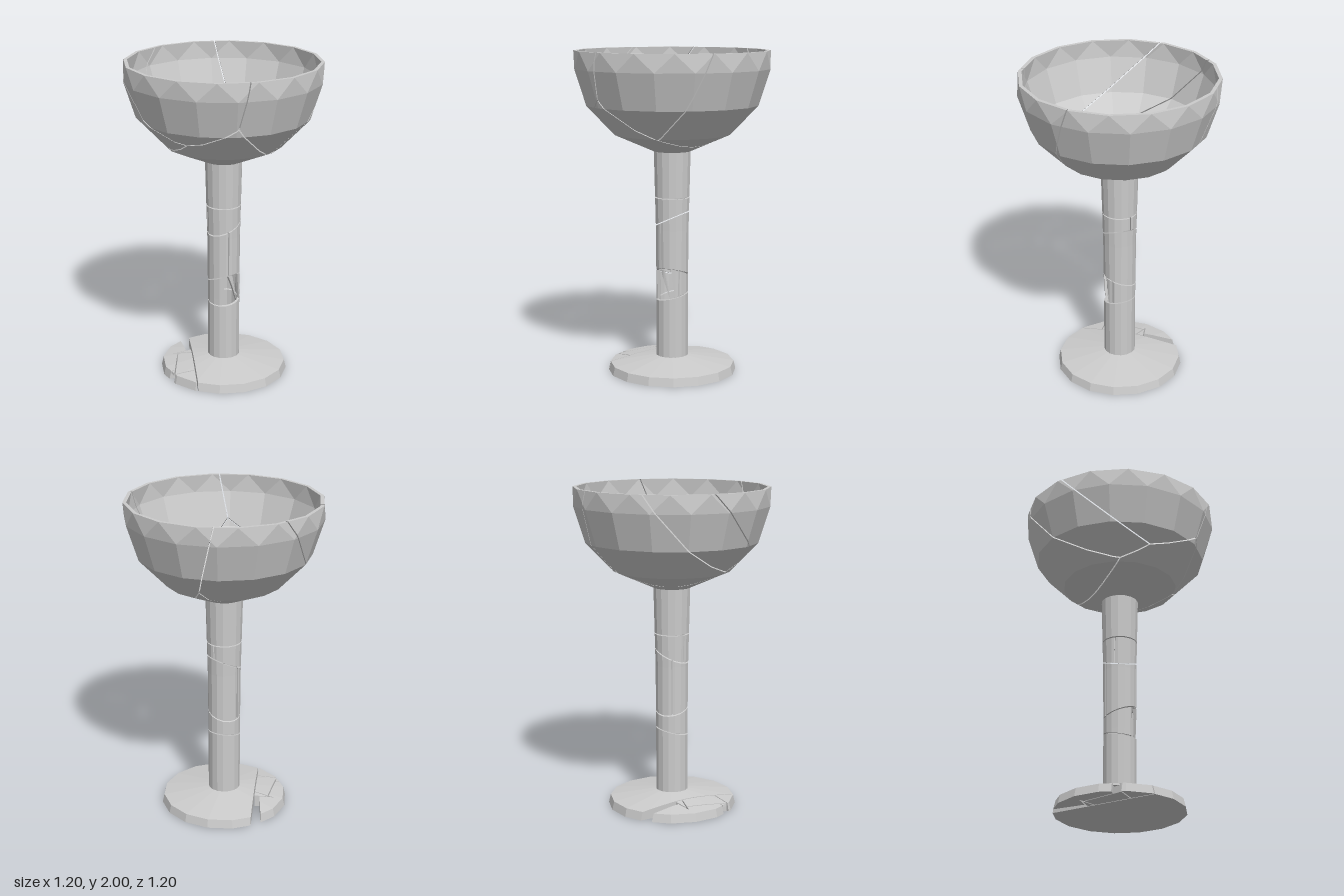
import * as THREE from 'three';

const SIDES = 16, GAP = 0.007;
const V = (x, y, z) => new THREE.Vector3(x, y, z);
const plane = (nx, ny, nz, c) => {
  const n = V(nx, ny, nz), l = n.length();
  return new THREE.Plane(n.divideScalar(l), c / l);
};
const flip = (p) => p.clone().negate();
const centre = (pts) => pts.reduce((s, p) => s.add(p), V(0, 0, 0)).divideScalar(pts.length);
const at = (r, y, step) => {
  const a = (step * Math.PI * 2) / SIDES;
  return V(r * Math.sin(a), y, r * Math.cos(a));
};

// Convex wall block between an outer and an inner face; only real surfaces are shown
function block(outer, inner) {
  const faces = [{ pts: outer, show: true }, { pts: inner, show: true }];
  outer.forEach((p, i) => {
    const j = (i + 1) % outer.length;
    faces.push({ pts: [p, outer[j], inner[j], inner[i]], show: p.y > 1.999 && outer[j].y > 1.999 });
  });
  return faces;
}

// Cut a convex block with a plane and close the cut with a cap
function clip(faces, pl) {
  const out = [], cut = [];
  const dist = (p) => pl.distanceToPoint(p) - GAP / 2;
  for (const { pts, show } of faces) {
    const kept = [];
    pts.forEach((p, i) => {
      const q = pts[(i + 1) % pts.length], dp = dist(p), dq = dist(q);
      if (dp >= 0) kept.push(p);
      if (dp >= 0 !== dq >= 0) {
        const m = p.clone().lerp(q, dp / (dp - dq));
        kept.push(m);
        cut.push(m);
      }
    });
    if (kept.length > 2) out.push({ pts: kept, show });
  }
  if (cut.length > 2) {
    const c = centre(cut);
    const u = V(0, 1, 0).cross(pl.normal);
    if (u.length() < 0.01) u.set(1, 0, 0);
    const w = pl.normal.clone().cross(u);
    const angle = (p) => {
      const d = p.clone().sub(c);
      return Math.atan2(d.dot(w), d.dot(u));
    };
    out.push({ pts: cut.sort((a, b) => angle(a) - angle(b)), show: true });
  }
  return out;
}

// One shard: all blocks of a part that lie inside the given planes
function shard(name, blocks, planes, material) {
  const pos = [];
  for (const b of blocks) {
    const faces = planes.reduce(clip, b);
    if (faces.length < 4) continue;
    const mid = centre(faces.flatMap((f) => f.pts));
    for (const { pts, show } of faces) {
      if (!show) continue;
      const fc = centre(pts);
      for (let i = 1; i < pts.length - 1; i++) {
        let [a, p, q] = [pts[0], pts[i], pts[i + 1]];
        const n = p.clone().sub(a).cross(q.clone().sub(a));
        if (n.length() < 1e-10) continue;
        if (n.dot(fc.clone().sub(mid)) < 0) [p, q] = [q, p];
        pos.push(...a.toArray(), ...p.toArray(), ...q.toArray());
      }
    }
  }
  const g = new THREE.BufferGeometry();
  g.setAttribute('position', new THREE.Float32BufferAttribute(pos, 3));
  g.computeVertexNormals();
  const mesh = new THREE.Mesh(g, material);
  mesh.name = name;
  return mesh;
}

// Straight bands of wall between two profiles of [radius, height]
function bands(outer, inner) {
  const list = [];
  for (let k = 0; k < outer.length - 1; k++) {
    for (let i = 0; i < SIDES; i++) {
      const quad = (p) => [at(...p[k], i + 0.5), at(...p[k], i + 1.5), at(...p[k + 1], i + 1.5), at(...p[k + 1], i + 0.5)];
      list.push(block(quad(outer), quad(inner)));
    }
  }
  return list;
}

export function createModel() {
  const model = new THREE.Group();
  const mat = new THREE.MeshStandardMaterial({ color: 0xcccccc, flatShading: true, side: THREE.DoubleSide });
  const part = (name) => {
    const g = new THREE.Group();
    g.name = name;
    model.add(g);
    return (label, blocks, planes) => g.add(shard(label, blocks, planes, mat));
  };

  // Bowl wall, with a zigzag row of triangles below the rim
  const bowlBlocks = bands(
    [[0.115, 1.385], [0.357, 1.49], [0.53, 1.67], [0.6, 1.89]],
    [[0.1, 1.4], [0.338, 1.508], [0.508, 1.682], [0.578, 1.892]]);
  for (let i = 0; i < SIDES; i++) {
    const up = (r) => [at(r, 2, i), at(r, 2, i + 1), at(r, 1.89, i + 0.5)];
    const down = (r) => [at(r, 2, i + 1), at(r, 1.89, i + 1.5), at(r, 1.89, i + 0.5)];
    bowlBlocks.push(block(up(0.6), up(0.578)), block(down(0.6), down(0.578)));
  }

  // Cracks run between these directions from the bowl centre (y = 0 ends at the rim)
  const A = V(-0.56, -1, -0.69), B = V(0.66, -1, -0.08), C = V(1.64, -1, 1.04);
  const D = V(-0.06, -1, 0.75), E = V(0.36, -1, 1);
  const rimA = V(-0.81, 0, -0.58), rimB = V(0.72, 0, -0.7), rimC = V(0.89, 0, 0.45);
  const rimD = V(-0.99, 0, 0.12), rimE = V(-0.67, 0, 0.74);
  const chains = [
    [rimA, A, B, rimB], [rimD, D, A, rimA], [A, D, E, C, B, A],
    [rimB, B, C, rimC], [rimC, C, E, rimE], [rimE, E, D, rimD],
  ];
  const addBowl = part('bowl');
  chains.forEach((chain, s) => {
    const inside = centre(chain.map((p) => p.clone().normalize()));
    const planes = chain.slice(1).map((p, i) => {
      const n = chain[i].clone().cross(p).normalize();
      if (n.dot(inside) < 0) n.negate();
      return new THREE.Plane(n, -n.y * 2);
    });
    addBowl(`bowlShard${s + 1}`, bowlBlocks, planes);
  });

  // Hollow stem, broken across at several heights
  const stemBlocks = bands(
    [[0.1, 0.095], [0.1, 0.5], [0.103, 0.9], [0.115, 1.385]],
    [[0.085, 0.095], [0.085, 0.5], [0.086, 0.9], [0.1, 1.4]]);
  const above = (h, ax = 0, az = 0) => plane(-ax, 1, -az, -h);
  const c1 = above(0.48, -0.12, -0.2), c2 = above(0.625, 0.35), c3 = above(0.965, 0, -0.45), c4 = above(1.1);
  const splitX = plane(1, 0, 0, 0.04), splitZ = plane(0, 0, 1, -0.04);
  const chip = plane(1, 0, 0, -0.068);
  const addStem = part('stem');
  [
    ['lowerStem', flip(c1)],
    ['chippedStem', c1, flip(c2), flip(chip)],
    ['chipSliverBack', c1, flip(c2), chip, plane(0, 0.12, -1, -0.105)],
    ['chipSliverMiddle', c1, flip(c2), chip, plane(0, -0.2, 1, 0.12), plane(0, 0.35, -1, -0.185)],
    ['middleStemFront', c2, flip(c3), splitZ],
    ['middleStemBack', c2, flip(c3), flip(splitZ)],
    ['upperStemLeft', c3, flip(c4), splitX],
    ['upperStemRight', c3, flip(c4), flip(splitX)],
    ['topStem', c4],
  ].forEach(([name, ...planes]) => addStem(name, stemBlocks, planes));

  // Solid foot made of wedges, whose middle is the floor of the stem
  const footBlocks = [];
  const footProfile = [[0, 0], [0.4, 0], [0.388, 0.052], [0.1, 0.098], [0, 0.098]];
  for (let i = 0; i < SIDES; i++) {
    const l = footProfile.map((p) => at(...p, i)), r = footProfile.map((p) => at(...p, i + 1));
    const faces = [{ pts: l, show: false }, { pts: r, show: false }];
    for (let k = 0; k < 4; k++) faces.push({ pts: [l[k], r[k], r[k + 1], l[k + 1]], show: true });
    footBlocks.push(faces);
  }

  // Foot cracks: "out" measures away from the break, "along" follows it
  const out = (d, slant = 0) => plane(-0.575 - 0.818 * slant, 0, 0.818 - 0.575 * slant, -d);
  const along = (t, slant = 0) => plane(0.818 + 0.575 * slant, 0, 0.575 - 0.818 * slant, -t);
  const edge = out(0.2), ring = out(0.3, 0.15);
  const k1 = along(-0.14, 0.2), k2 = along(0, -0.25), k3 = along(0.17, 0.1);
  const addFoot = part('foot');
  [
    ['footMain', flip(edge)],
    ['footShardRight', edge, flip(k1), out(0.222, -0.1)],
    ['footShardInnerRight', edge, k1, flip(k2), flip(ring)],
    ['footShardOuterRight', k1, flip(k2), ring],
    ['footShardInnerLeft', edge, k2, flip(k3), flip(ring)],
    ['footShardOuterLeft', k2, flip(along(0.085, 0.2)), ring],
    ['footSplinter', along(0.085, 0.2), flip(k3), ring, above(0.035)],
    ['footShardLeft', edge, k3],
  ].forEach(([name, ...planes]) => addFoot(name, footBlocks, planes));

  return model;
}
